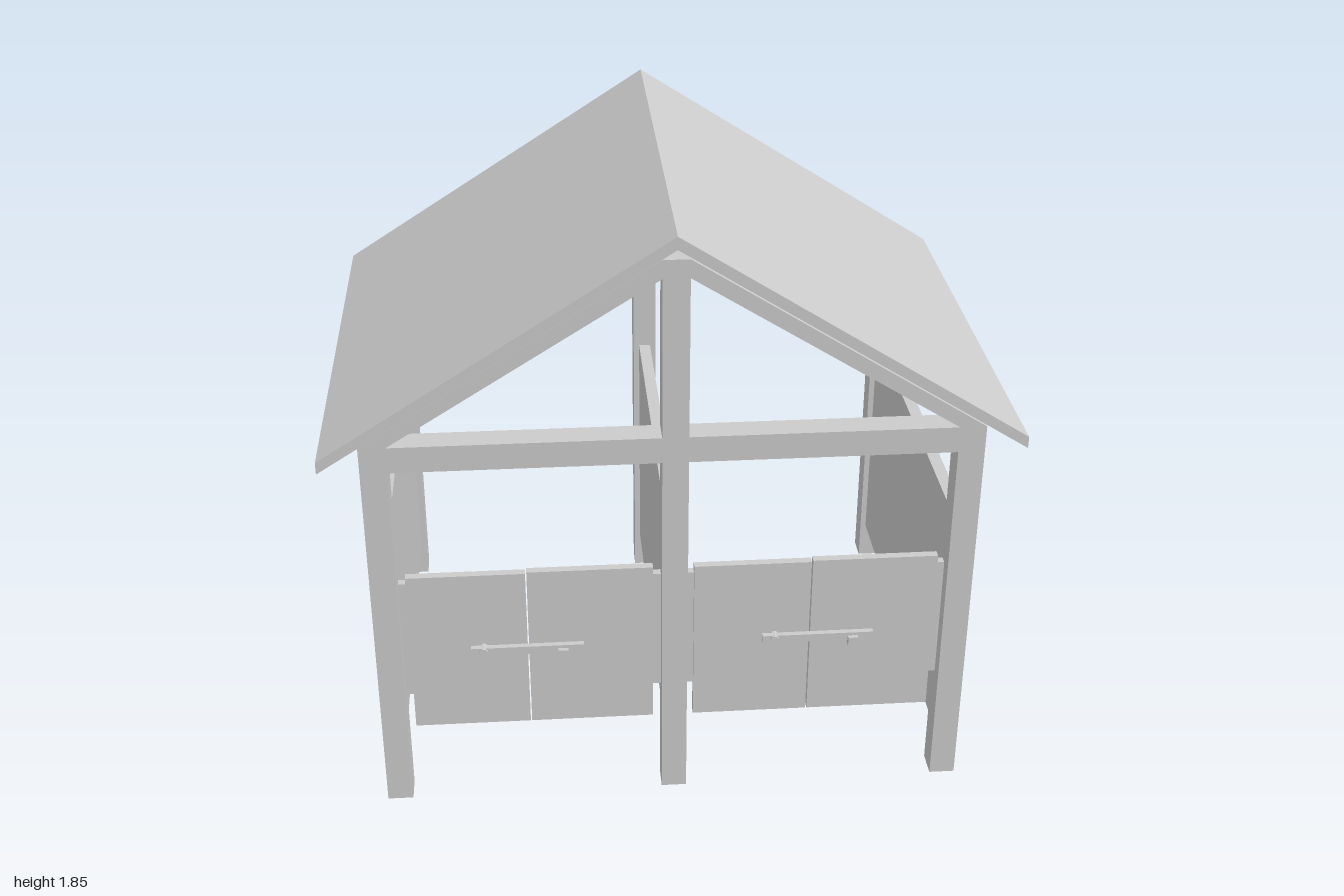
import * as THREE from 'three';

const material = new THREE.MeshStandardMaterial({ color: 0xcccccc, flatShading: true, side: THREE.DoubleSide });

// Box given by its min and max on each axis
function box(parent, name, [x0, x1], [y0, y1], [z0, z1]) {
  const mesh = new THREE.Mesh(new THREE.BoxGeometry(x1 - x0, y1 - y0, z1 - z0), material);
  mesh.position.set((x0 + x1) / 2, (y0 + y1) / 2, (z0 + z1) / 2);
  mesh.name = name;
  parent.add(mesh);
  return mesh;
}

// Outline in x and y, extruded from z0 to z1
function slab(parent, name, points, z0, z1) {
  const shape = new THREE.Shape(points.map(([x, y]) => new THREE.Vector2(x, y)));
  const geometry = new THREE.ExtrudeGeometry(shape, { depth: z1 - z0, bevelEnabled: false });
  const mesh = new THREE.Mesh(geometry, material);
  mesh.position.z = z0;
  mesh.name = name;
  parent.add(mesh);
}

// Three posts, tie beams and a pair of rafters
function gableFrame(name, z0, z1) {
  const frame = new THREE.Group();
  frame.name = name;
  box(frame, 'centrePost', [-0.038, 0.038], [0, 1.775], [z0, z1]);
  for (const s of [-1, 1]) {
    const span = (a, b) => [Math.min(s * a, s * b), Math.max(s * a, s * b)];
    box(frame, 'cornerPost', span(0.808, 0.885), [0, 1.235], [z0, z1]);
    box(frame, 'tieBeam', span(0.038, 0.808), [1.155, 1.235], [z0, z1]);
    slab(frame, 'rafter', [[s * 0.038, 1.72], [s * 0.808, 1.235], [s * 0.885, 1.235], [s * 0.038, 1.775]], z0, z1);
  }
  return frame;
}

// Double door with a swinging latch bar; s is the side of the bay
function doubleDoor(s) {
  const door = new THREE.Group();
  door.name = s > 0 ? 'leftDoor' : 'rightDoor';
  const left = s > 0 ? 0.06 : -0.785;
  const right = s > 0 ? 0.785 : -0.062;
  const middle = s > 0 ? 0.41 : -0.435;
  box(door, 'doorLeaf', [left, middle - 0.002], [0.25, 0.782], [0.642, 0.667]);
  box(door, 'doorLeaf', [middle + 0.002, right], [0.25, 0.786], [0.642, 0.667]);

  // Hinge strips between the leaves and the posts
  const postLeft = s > 0 ? 0.038 : -0.808;
  const postRight = s > 0 ? 0.808 : -0.038;
  box(door, 'hingeStrip', [postLeft, left + 0.005], [0.36, 0.755], [0.63, 0.655]);
  box(door, 'hingeStrip', [right - 0.005, postRight], [0.36, 0.755], [0.63, 0.655]);

  // Latch bar, pivot pin and catch
  const start = s > 0 ? 0.265 : -0.605;
  box(door, 'latchBar', [start, start + 0.335], [0.515, 0.541], [0.675, 0.692]);
  const pin = new THREE.Mesh(new THREE.CylinderGeometry(0.013, 0.013, 0.033, 16), material);
  pin.rotation.x = Math.PI / 2;
  pin.position.set(start + 0.037, 0.529, 0.682);
  pin.name = 'latchPivot';
  door.add(pin);
  box(door, 'latchCatch', [start + 0.258, start + 0.288], [0.5, 0.515], [0.66, 0.705]);
  box(door, 'latchCatchLip', [start + 0.258, start + 0.288], [0.5, 0.531], [0.692, 0.705]);
  return door;
}

export function createModel() {
  const model = new THREE.Group();
  model.name = 'shelter';

  model.add(gableFrame('frontFrame', 0.62, 0.7));
  model.add(gableFrame('backFrame', -0.66, -0.58));

  // Side walls and the divider between the bays
  for (const x of [-0.846, 0, 0.846]) {
    box(model, 'wallPanel', [x - 0.019, x + 0.019], [0.125, 0.905], [-0.58, 0.62]);
  }

  for (const s of [-1, 1]) {
    model.add(doubleDoor(s));
    // Sloped roof half
    slab(model, 'roofSlope', [[0, 1.815], [s, 1.177], [s, 1.213], [0, 1.853]], -0.73, 0.73);
  }
  return model;
}
